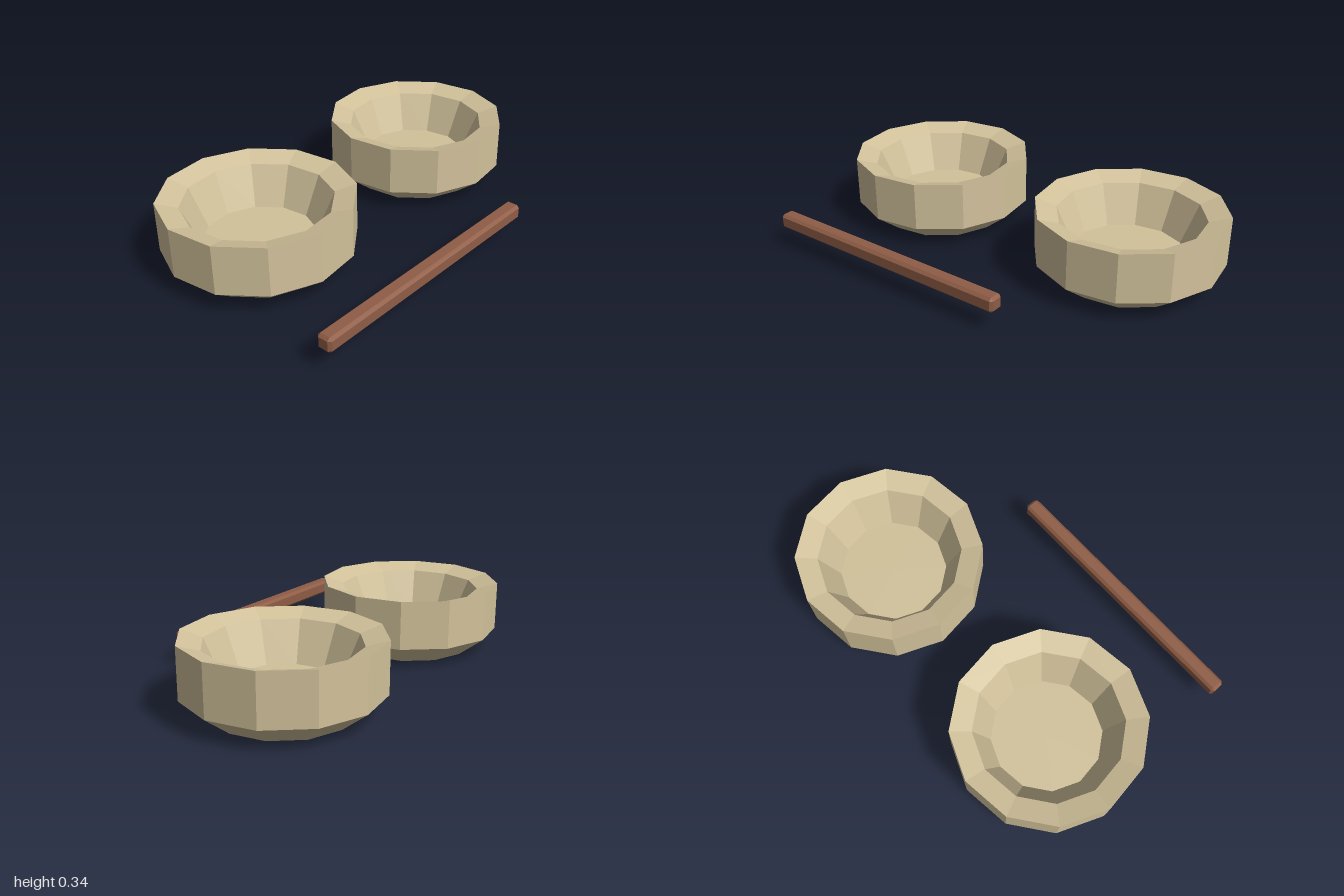
import * as THREE from 'three';
import { ConvexGeometry } from 'three/addons/geometries/ConvexGeometry.js';

const clay = new THREE.MeshStandardMaterial({ color: 0xd2c29b });
clay.name = 'sand clay';
const wood = new THREE.MeshStandardMaterial({ color: 0x8f5d46 });
wood.name = 'red brown wood';

// Twelve-sided bowl: base, flared foot, upright wall, sloping rim, tapered hollow
function bowlGeometry() {
  const profile = [
    [0, 0], [0.315, 0], [0.444, 0.1], [0.444, 0.335],
    [0.343, 0.303], [0.26, 0.115], [0, 0.115],
  ].map(([r, y]) => new THREE.Vector2(r, y));
  const geometry = new THREE.LatheGeometry(profile, 12, -0.127).toNonIndexed();
  geometry.computeVertexNormals(); // flat facets
  return geometry;
}

// Box with every edge and corner cut by c
function chamferedBox(w, h, d, c) {
  const points = [];
  for (const x of [-1, 1]) for (const y of [-1, 1]) for (const z of [-1, 1]) {
    for (let full = 0; full < 3; full++) {
      const [a, b, e] = [w, h, d].map((s, i) => s / 2 - (i === full ? 0 : c));
      points.push(new THREE.Vector3(x * a, y * b, z * e));
    }
  }
  return new ConvexGeometry(points);
}

export function createModel() {
  const model = new THREE.Group();
  model.name = 'bowlsAndStick';

  const geometry = bowlGeometry();
  for (const [name, x] of [['rightBowl', -0.557], ['leftBowl', 0.557]]) {
    const bowl = new THREE.Mesh(geometry, clay);
    bowl.name = name;
    bowl.position.set(x, 0, -0.17);
    model.add(bowl);
  }

  // Stick lying in front of the bowls
  const stick = new THREE.Mesh(chamferedBox(1.295, 0.072, 0.072, 0.013), wood);
  stick.name = 'stick';
  stick.position.set(-0.282, 0.131, 0.574);
  model.add(stick);

  return model;
}
